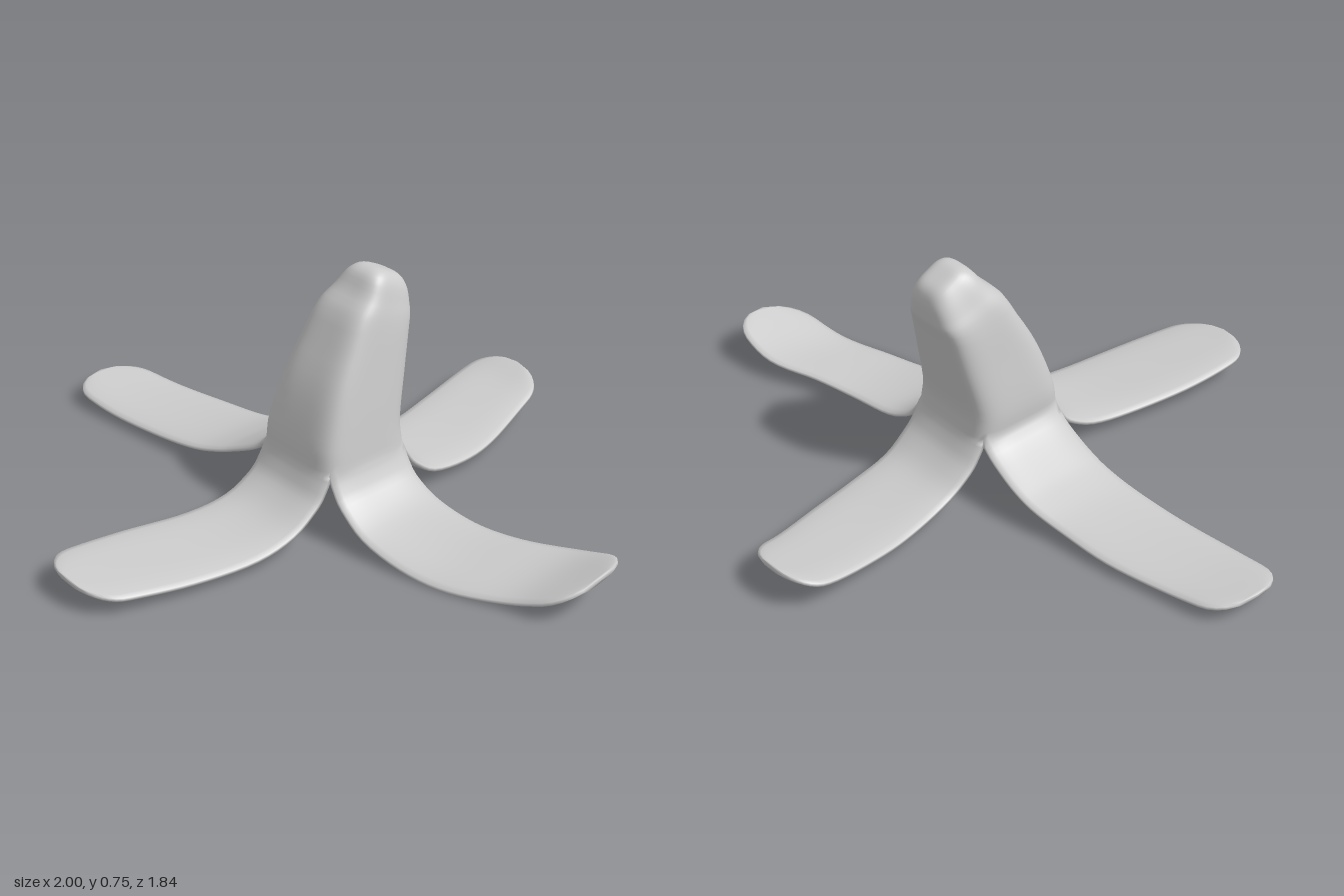
import * as THREE from 'three';
import { mergeVertices } from 'three/addons/utils/BufferGeometryUtils.js';

const V = (x, y, z) => new THREE.Vector3(x, y, z);
const { smoothstep, clamp, lerp } = THREE.MathUtils;
const N = 16;            // steps across a strip
const BODY = 26;         // rows down the stem
const LEG = 34;          // rows along a flap
const THICK = 0.03;
const SPLIT_Y = 0.22;    // height where the flaps part

// Stem rings from top to bottom: y, centre x, centre z, half x, half z
const RINGS = [
  [0.735, 0.05, -0.205, 0, 0],
  [0.732, 0.05, -0.203, 0.045, 0.042],
  [0.708, 0.05, -0.192, 0.073, 0.07],
  [0.66, 0.045, -0.173, 0.096, 0.09],
  [0.6, 0.04, -0.135, 0.118, 0.122],
  [0.45, 0.04, -0.075, 0.14, 0.149],
  [0.3, 0.04, -0.032, 0.16, 0.158],
  [SPLIT_Y, 0.045, -0.025, 0.165, 0.165],
];

// Flaps: outward start, sideways start, flare, sideways tilt,
// then points of distance outward, y, sideways centre, half width
const frontFlap = {
  start: 0.14, side: 0.045, flare: 1, tilt: -0.01, path: [
    [0.28, 0.08, 0.045, 0.155], [0.42, 0.06, 0.035, 0.162], [0.62, 0.065, 0.005, 0.165],
    [0.8, 0.078, -0.02, 0.15], [0.915, 0.088, -0.03, 0.125]],
};
const leftFlap = {
  start: 0.21, side: 0.025, flare: 1, tilt: 0.024, path: [
    [0.35, 0.08, 0.027, 0.153], [0.5, 0.053, 0.04, 0.15], [0.65, 0.05, 0.075, 0.15],
    [0.82, 0.068, 0.142, 0.148], [1.0, 0.13, 0.17, 0.122]],
};
const backFlap = {
  start: 0.19, side: -0.045, flare: 1, tilt: 0.008, path: [
    [0.32, 0.078, -0.04, 0.15], [0.46, 0.058, -0.02, 0.158], [0.6, 0.062, 0.008, 0.158],
    [0.8, 0.09, 0.052, 0.14], [0.92, 0.125, 0.06, 0.12]],
};
const rightFlap = {
  start: 0.12, side: -0.025, flare: 2.5, tilt: 0, path: [
    [0.32, 0.097, -0.018, 0.15], [0.43, 0.068, 0, 0.148], [0.6, 0.052, 0.018, 0.148],
    [0.8, 0.052, 0.048, 0.138], [1.0, 0.07, 0.07, 0.12]],
};

// Smooth interpolation through rows of up to six numbers
function rowSpline(rows) {
  const curve = (k) => new THREE.CatmullRomCurve3(
    rows.map((r) => V(r[k], r[k + 1] ?? 0, r[k + 2] ?? 0)), false, 'catmullrom');
  const a = curve(0), b = curve(3);
  return (t) => [...a.getPoint(t).toArray(), ...b.getPoint(t).toArray()];
}

const acrossSteps = Array.from({ length: N + 1 }, (_, j) => (2 * j) / N - 1);

// One side of the rounded-square stem, outer and inner skins; the top is cut at a slant
function stemRow(ring, t, out, lat) {
  const [y, cx, cz, hx, hz] = ring;
  const n = 3 + 2 * t;
  const slope = 0.5 * smoothstep(y, 0.55, 0.72);
  const skin = (inset) => acrossSteps.map((v) => {
    const r = 1 / Math.pow(1 + Math.pow(Math.abs(v), n), 1 / n);
    const dir = out.clone().addScaledVector(lat, v).multiplyScalar(r);
    const x = dir.x * Math.max(hx - inset, 0), z = dir.z * Math.max(hz - inset, 0);
    return V(cx + x, y + slope * z - inset * (1 - t), cz + z);
  });
  return { outer: skin(0), inner: skin(THICK) };
}

// One cross-section of a flap: a thin crowned blade with a rounded tip
function flapRow(at, t, end, maxTilt, out, lat) {
  const [d, y, side, width] = at(t);
  const p = at(Math.max(t - 0.01, 0)), q = at(Math.min(t + 0.01, 1));
  const len = Math.hypot(q[0] - p[0], q[1] - p[1]);
  const nOut = (p[1] - q[1]) / len, nUp = (q[0] - p[0]) / len;
  const tipRadius = 0.1;
  const u = clamp((d - end + tipRadius) / tipRadius, 0, 1);
  const round = t >= 1 ? 0 : Math.pow(1 - Math.pow(u, 2.4), 1 / 2.4);
  const crown = lerp(0.02, 0.01, Math.min(t * 3, 1)) * round;
  const tilt = maxTilt * smoothstep(t, 0.25, 0.75) * round;
  const skin = (depth) => acrossSteps.map((v) => {
    const drop = crown * v ** 4 + depth * (1 - 0.65 * v ** 4) * (0.3 + 0.7 * round);
    const point = out.clone().multiplyScalar(d - nOut * drop);
    point.addScaledVector(lat, side + width * round * v);
    point.y = y - nUp * drop + tilt * v;
    return point;
  });
  return { outer: skin(0), inner: skin(THICK) };
}

// All cross-sections of one strip, from the stem top to the flap tip
function stripRows({ start, side, flare, tilt, path }, angle) {
  const out = V(Math.round(Math.sin(angle)), 0, Math.round(Math.cos(angle)));
  const lat = V(out.z, 0, -out.x);
  const ringAt = rowSpline(RINGS);
  const at = rowSpline([
    [start, SPLIT_Y, side, 0.147],
    [start + 0.015 * flare, 0.18, side, 0.148],
    [start + 0.05 * flare, 0.13, side, 0.15],
    ...path,
  ]);
  const end = path[path.length - 1][0];
  const rows = [];
  for (let i = 0; i <= BODY; i++) rows.push(stemRow(ringAt(i / BODY), i / BODY, out, lat));
  for (let i = 1; i <= LEG; i++) {
    rows.push(flapRow(at, 1 - Math.pow(1 - i / LEG, 1.4), end, tilt, out, lat));
  }
  return rows;
}

// Join the four strips into one smooth hollow skin
function buildPeel() {
  const pos = [];
  const tri = (a, b, c) => {
    if (a.distanceTo(b) < 1e-5 || b.distanceTo(c) < 1e-5 || a.distanceTo(c) < 1e-5) return;
    for (const p of [a, b, c]) pos.push(p.x, p.y, p.z);
  };
  const quad = (a, b, c, d) => { tri(a, c, b); tri(b, c, d); };

  [frontFlap, leftFlap, backFlap, rightFlap].forEach((flap, k) => {
    const rows = stripRows(flap, (k * Math.PI) / 2);
    for (let i = 0; i < rows.length - 1; i++) {
      const { outer: o, inner: n } = rows[i], { outer: o2, inner: n2 } = rows[i + 1];
      for (let j = 0; j < N; j++) {
        quad(o[j], o[j + 1], o2[j], o2[j + 1]);
        quad(n[j + 1], n[j], n2[j + 1], n2[j]);
      }
      // Rim along both edges of the free flap
      if (i >= BODY) {
        quad(o[N], n[N], o2[N], n2[N]);
        quad(n[0], o[0], n2[0], o2[0]);
      }
    }
  });
  const raw = new THREE.BufferGeometry();
  raw.setAttribute('position', new THREE.Float32BufferAttribute(pos, 3));
  const geometry = mergeVertices(raw, 1e-4);
  geometry.computeVertexNormals();
  return geometry;
}

export function createModel() {
  const group = new THREE.Group();
  group.name = 'bananaPeel';
  const material = new THREE.MeshStandardMaterial({ color: 0xcccccc, side: THREE.DoubleSide });
  const peel = new THREE.Mesh(buildPeel(), material);
  peel.name = 'peel';
  group.add(peel);
  return group;
}
